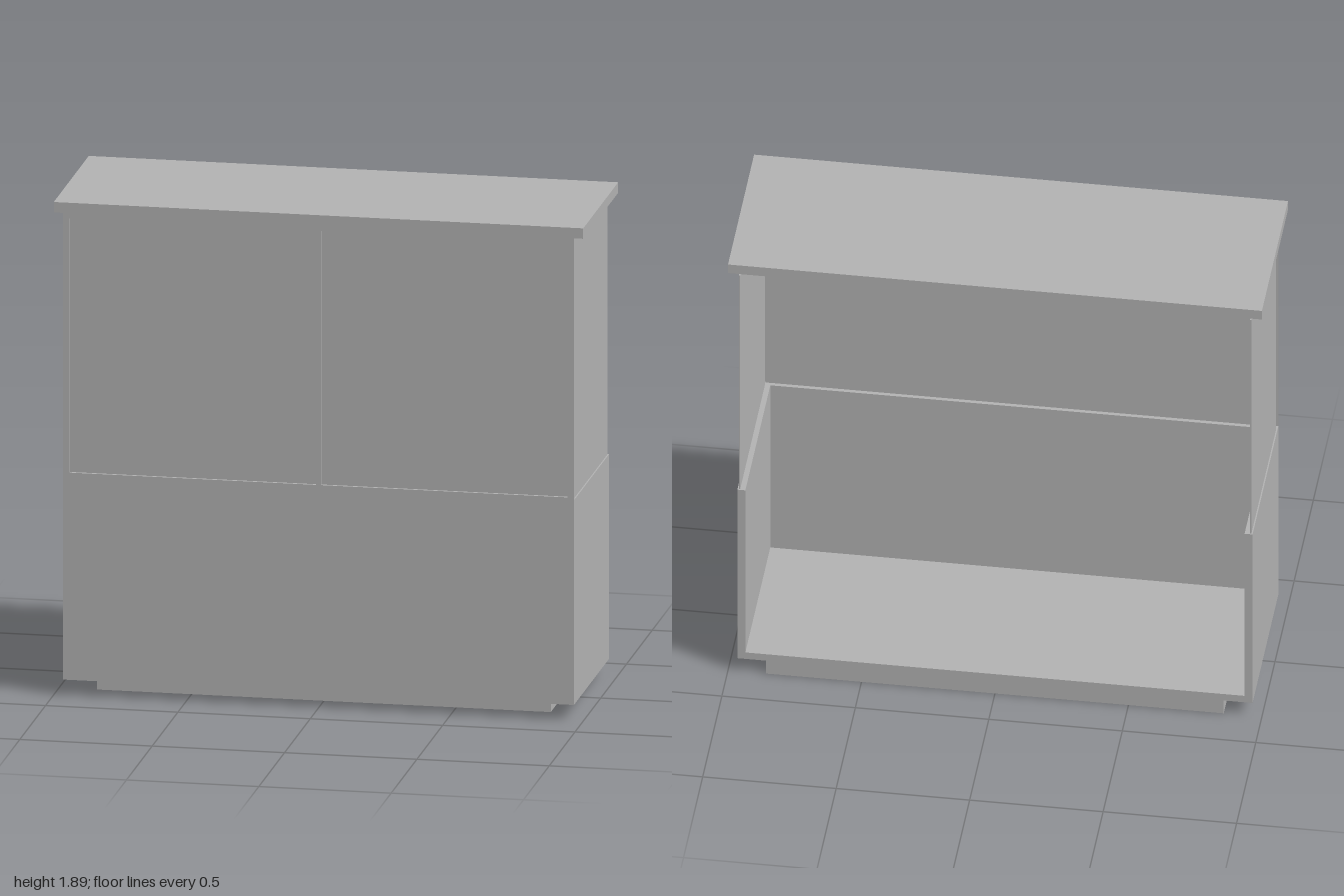
import * as THREE from 'three';

export function createModel() {
  const model = new THREE.Group();
  model.name = 'cabinet';
  const grey = new THREE.MeshStandardMaterial({ color: 0xb2b2b2 });
  grey.name = 'grey';

  // Box given by its low and high limits on each axis
  function box(name, [x0, x1], [y0, y1], [z0, z1]) {
    const geometry = new THREE.BoxGeometry(x1 - x0, y1 - y0, z1 - z0);
    geometry.translate((x0 + x1) / 2, (y0 + y1) / 2, (z0 + z1) / 2);
    const mesh = new THREE.Mesh(geometry, grey);
    mesh.name = name;
    model.add(mesh);
  }

  function rectangle(target, x0, x1, y0, y1) {
    target.moveTo(x0, y0);
    target.lineTo(x1, y0);
    target.lineTo(x1, y1);
    target.lineTo(x0, y1);
    target.closePath();
    return target;
  }

  const W = 0.965, D = 0.34, T = 0.03;
  const bottom = 0.06, rim = 0.845, underTop = 1.85;

  // Worktop and recessed plinth
  box('worktop', [-1, 1], [underTop, 1.89], [-D, D]);
  box('plinth', [-0.857, 0.857], [0, bottom], [-D, 0.235]);

  // Lower case, open at the back
  box('caseFloor', [-W + T, W - T], [bottom, bottom + T], [-D, D - T]);
  box('lowerFrontBacking', [-W + T, W - T], [bottom, rim], [D - T, D - 0.01]);

  // Front face with two window openings
  const face = rectangle(new THREE.Shape(), -W, W, bottom, underTop);
  for (const [x0, x1] of [[-0.94, -0.01], [0.01, 0.94]]) {
    face.holes.push(rectangle(new THREE.Path(), x0, x1, 0.855, 1.83));
  }
  const faceGeometry = new THREE.ExtrudeGeometry(face, { depth: 0.01, bevelEnabled: false });
  faceGeometry.translate(0, 0, D - 0.01);
  const frontFace = new THREE.Mesh(faceGeometry, grey);
  frontFace.name = 'frontFace';
  model.add(frontFace);

  // Sides: thick below, thin above with a slit behind the front and under the top
  for (const s of [-1, 1]) {
    const side = s > 0 ? 'left' : 'right';
    const span = (a, b) => (s > 0 ? [a, b] : [-b, -a]);
    box(side + 'LowerSide', span(W - T, W), [bottom, rim], [-D, D - 0.01]);
    box(side + 'UpperSide', span(0.955, 0.96), [rim, 1.84], [-0.335, 0.31]);
    box(side + 'WindowPanel', span(0, 0.955), [rim, 1.84], [0.325, 0.33]);
  }

  return model;
}
